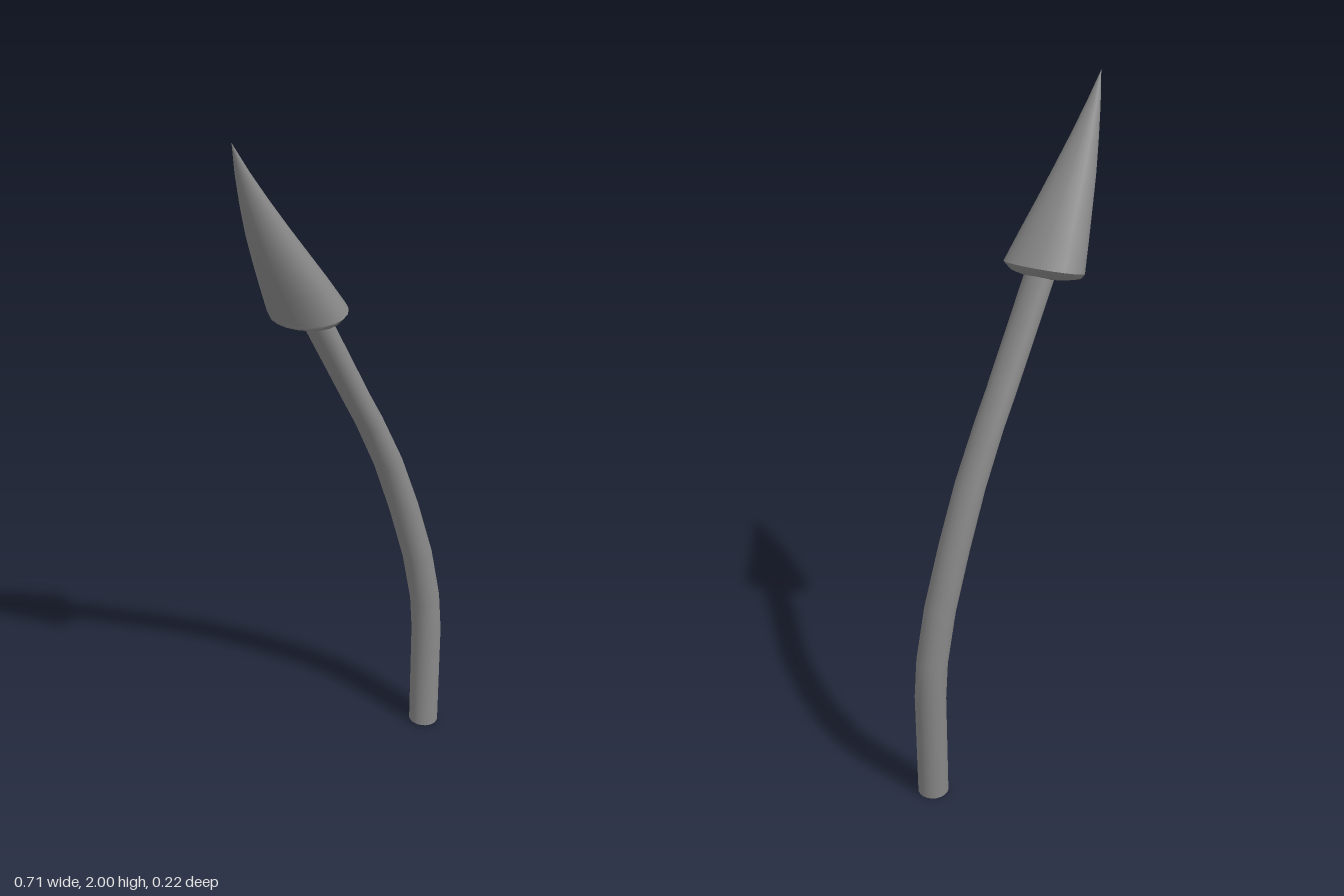
import * as THREE from 'three';

const SIDES = 20;

// Skin over elliptical sections [x, y, z, tilt in degrees, radius across, radius in z].
// skew slides the +z side of each section towards +x.
function loft(name, sections, skew, material) {
  const positions = [], index = [];
  for (const [x, y, z, tilt, rx, rz] of sections) {
    const t = THREE.MathUtils.degToRad(tilt);
    for (let i = 0; i < SIDES; i++) {
      const a = (i / SIDES) * Math.PI * 2;
      const u = rx * Math.cos(a), w = rz * Math.sin(a);
      positions.push(x + u * Math.cos(t) + skew * w, y + u * Math.sin(t), z + w);
    }
  }
  for (let s = 0; s < sections.length - 1; s++) {
    for (let i = 0; i < SIDES; i++) {
      const a = s * SIDES + i, b = s * SIDES + (i + 1) % SIDES;
      index.push(a, a + SIDES, b, b, a + SIDES, b + SIDES);
    }
  }
  const geometry = new THREE.BufferGeometry();
  geometry.setAttribute('position', new THREE.Float32BufferAttribute(positions, 3));
  geometry.setIndex(index);
  geometry.computeVertexNormals();
  const mesh = new THREE.Mesh(geometry, material);
  mesh.name = name;
  return mesh;
}

export function createModel() {
  const model = new THREE.Group();
  model.name = 'bentArrow';
  const material = new THREE.MeshStandardMaterial({ color: 0x888888, side: THREE.DoubleSide });

  // Curved shaft, open at the foot
  const shaft = loft('shaft', [
    [0.298, 0.002, 0.053, -2, 0.044, 0.045],
    [0.307, 0.34, 0.045, 1, 0.045, 0.045],
    [0.3, 0.46, 0.041, 8, 0.044, 0.045],
    [0.27, 0.62, 0.034, 13, 0.043, 0.045],
    [0.218, 0.8, 0.024, 18, 0.041, 0.045],
    [0.157, 0.97, 0.017, 21, 0.038, 0.045],
    [0.085, 1.125, 0.011, 25, 0.035, 0.044],
    [0.045, 1.2, 0.008, 27, 0.034, 0.044],
    [-0.11, 1.5, 0, 27, 0.034, 0.044],
    [-0.135, 1.55, 0, 27, 0.034, 0.044],
  ], 0, material);

  // Head swept to a point, leaning as it rises
  const rim = [-0.128, 1.517, 0, 16, 0.077, 0.111];
  const head = loft('head', [
    rim,
    [-0.172, 1.6, 0, 16, 0.068, 0.092],
    [-0.215, 1.68, 0, 17, 0.057, 0.073],
    [-0.254, 1.755, 0, 18, 0.045, 0.056],
    [-0.294, 1.84, 0, 19, 0.030, 0.036],
    [-0.328, 1.92, 0, 20, 0.015, 0.018],
    [-0.357, 2.0, 0, 20, 0, 0],
  ], 0.18, material);

  // Bevelled underside with a shallow recess around the shaft
  const underside = loft('headUnderside', [
    [-0.13, 1.51, 0, 14, 0.02, 0.03],
    [-0.14, 1.494, 0, 6, 0.052, 0.08],
    [-0.136, 1.499, 0, 10, 0.066, 0.098],
    rim,
  ], 0.18, material);

  model.add(shaft, head, underside);
  return model;
}
